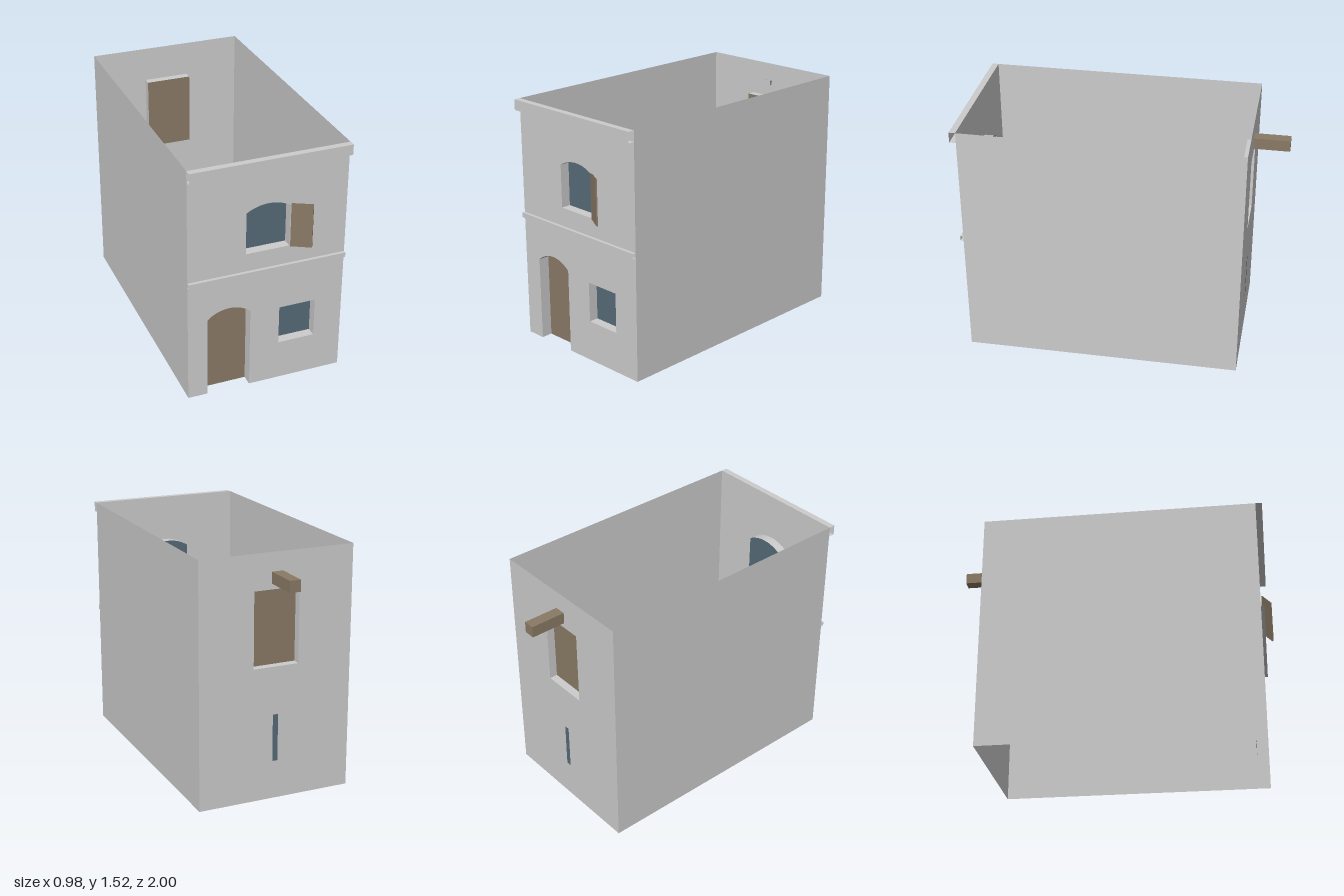
import * as THREE from 'three';
import { toCreasedNormals } from 'three/addons/utils/BufferGeometryUtils.js';

const material = (color) => new THREE.MeshStandardMaterial({ color, side: THREE.DoubleSide });
const plaster = material(0xcccccc);
const wood = material(0x8a7a66);
const glass = material(0x566b78);

const W = 0.49, H = 1.52, FRONT = 0.93, BACK = -0.78;

// Outline of an opening, running up the left jamb, over the head and down the right jamb.
// A rise above zero gives the head a segmental arch.
function opening(x0, x1, y0, y1, rise = 0) {
  const pts = [[x0, y0]];
  const half = (x1 - x0) / 2, cx = (x0 + x1) / 2;
  if (rise > 0) {
    const r = (half * half + rise * rise) / (2 * rise);
    const a = Math.asin(half / r), n = 16;
    for (let i = 0; i <= n; i++) {
      const t = -a + (2 * a * i) / n;
      pts.push([cx + r * Math.sin(t), y1 + rise - r + r * Math.cos(t)]);
    }
  } else {
    pts.push([x0, y1], [x1, y1]);
  }
  pts.push([x1, y0]);
  return pts.map(([x, y]) => new THREE.Vector2(x, y));
}

// Open strip: a line of points swept along z from z0 to z1.
function ribbon(pts, z0, z1, closed = false) {
  const line = closed ? [...pts, pts[0]] : pts;
  const pos = [];
  for (let i = 0; i + 1 < line.length; i++) {
    const a = line[i], b = line[i + 1];
    pos.push(a.x, a.y, z0, b.x, b.y, z0, b.x, b.y, z1);
    pos.push(a.x, a.y, z0, b.x, b.y, z1, a.x, a.y, z1);
  }
  const g = new THREE.BufferGeometry();
  g.setAttribute('position', new THREE.Float32BufferAttribute(pos, 3));
  g.computeVertexNormals();
  return toCreasedNormals(g, Math.PI / 6);
}

const v2 = (list) => list.map(([x, y]) => new THREE.Vector2(x, y));

export function createModel() {
  const house = new THREE.Group();
  house.name = 'house';
  const add = (name, geometry, mat) => {
    const mesh = new THREE.Mesh(geometry, mat);
    mesh.name = name;
    house.add(mesh);
    return mesh;
  };

  // Openings: wall plane, signed recess depth and infill
  const door = { name: 'frontDoor', pts: opening(-0.368, -0.1, 0, 0.525, 0.053), z: FRONT, depth: -0.07, mat: wood, sill: false };
  const frontWindows = [
    { name: 'lowerWindow', pts: opening(0.085, 0.315, 0.255, 0.505), z: FRONT, depth: -0.06, mat: glass, sill: true },
    { name: 'upperWindow', pts: opening(-0.135, 0.135, 0.92, 1.185, 0.04), z: FRONT, depth: -0.06, mat: glass, sill: true },
  ];
  const backOpenings = [
    { name: 'loftDoor', pts: opening(-0.145, 0.145, 0.833, 1.3), z: BACK, depth: 0.05, mat: wood, sill: true },
    { name: 'slitWindow', pts: opening(-0.017, 0.017, 0.24, 0.535), z: BACK, depth: 0, mat: glass, sill: true },
  ];

  // Front wall, with the doorway notched out of its lower edge
  const frontShape = new THREE.Shape([...v2([[-W, 0]]), ...door.pts, ...v2([[W, 0], [W, H], [-W, H]])]);
  frontShape.holes = frontWindows.map((o) => new THREE.Path(o.pts));
  add('frontWall', new THREE.ShapeGeometry(frontShape).translate(0, 0, FRONT), plaster);

  // Back wall, turned so that its face looks outward
  const backShape = new THREE.Shape(v2([[-W, 0], [W, 0], [W, H], [-W, H]]));
  backShape.holes = backOpenings.map((o) => new THREE.Path(o.pts));
  add('backWall', new THREE.ShapeGeometry(backShape).rotateY(Math.PI).translate(0, 0, BACK), plaster);

  // Side walls
  for (const s of [-1, 1]) {
    const g = new THREE.PlaneGeometry(FRONT - BACK, H).rotateY((s * Math.PI) / 2);
    add(s > 0 ? 'leftWall' : 'rightWall', g.translate(s * W, H / 2, (FRONT + BACK) / 2), plaster);
  }

  // Reveals and the panels set behind them
  for (const o of [door, ...frontWindows, ...backOpenings]) {
    if (o.depth !== 0) add(o.name + 'Reveal', ribbon(o.pts, o.z, o.z + o.depth, o.sill), plaster);
    const panel = new THREE.ShapeGeometry(new THREE.Shape(o.pts));
    if (o.z < 0) panel.rotateY(Math.PI);
    add(o.name, panel.translate(0, 0, o.z + o.depth), o.mat);
  }

  // Cornice and string course, open at the ends
  const moulding = (name, y0, y1, depth) => {
    const profile = v2([[-FRONT, y0], [-FRONT - depth, y0], [-FRONT - depth, y1], [-FRONT, y1]]);
    add(name, ribbon(profile, -W, W).rotateY(Math.PI / 2), plaster);
  };
  moulding('cornice', 1.455, H, 0.04);
  moulding('stringCourse', 0.775, 0.805, 0.02);

  // Half-open shutter hinged on the upper window
  const leaf = v2([[0.135, -0.94], [0.245, -1.0], [0.25, -0.993], [0.139, -0.935]]);
  add('shutter', ribbon(leaf, 0.92, 1.2).rotateX(-Math.PI / 2), wood);

  // Hoist beam above the loft door
  add('hoistBeam', new THREE.BoxGeometry(0.07, 0.07, 0.22).translate(0, 1.37, -0.89), wood);

  return house;
}
